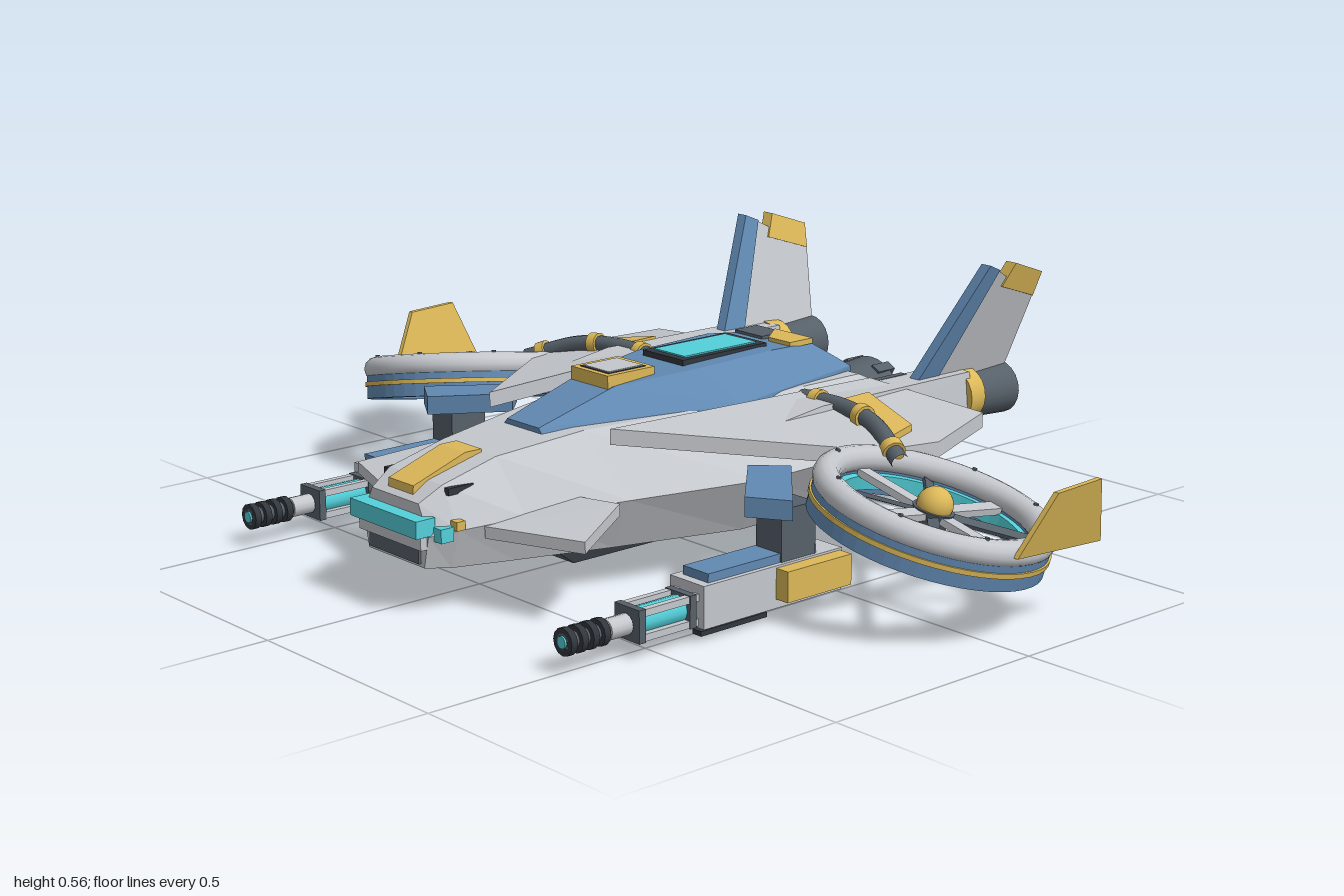
import * as THREE from 'three';
import { ConvexGeometry } from 'three/addons/geometries/ConvexGeometry.js';

const paint = (name, color) => Object.assign(new THREE.MeshStandardMaterial({ color }), { name });
const V = (x, y, z) => new THREE.Vector3(x, y, z);

export function createModel() {
  const gray = paint('hull gray', 0xc4c7cc), blue = paint('panel blue', 0x6189b2);
  const gold = paint('trim gold', 0xdcb858), cyan = paint('glow cyan', 0x54d0da);
  const dark = paint('machinery gray', 0x566069), black = paint('frame black', 0x32373e);
  const model = new THREE.Group();
  model.name = 'tiltrotorGunship';

  const add = (name, geo, mat) => {
    const mesh = new THREE.Mesh(geo, mat);
    mesh.name = name;
    model.add(mesh);
  };
  // reflected copy with its winding restored
  const reflect = (geo) => {
    const g = geo.clone().scale(-1, 1, 1);
    const n = g.attributes.position.count;
    const idx = g.index ? Array.from(g.index.array) : Array.from({ length: n }, (_, i) => i);
    for (let i = 0; i < idx.length; i += 3) [idx[i], idx[i + 1]] = [idx[i + 1], idx[i]];
    g.setIndex(idx);
    return g;
  };
  const pair = (name, geo, mat) => {
    add(name + 'Left', geo, mat);
    add(name + 'Right', reflect(geo), mat);
  };
  const box = (w, h, d, x, y, z) => new THREE.BoxGeometry(w, h, d).translate(x, y, z);
  const solid = (pts) => new ConvexGeometry(pts.map((p) => V(...p)));
  // cylinder along z
  const rod = (rFront, rBack, len, x, y, z, sides = 20) =>
    new THREE.CylinderGeometry(rFront, rBack, len, sides).rotateX(Math.PI / 2).translate(x, y, z);
  const sym = (pts) => solid(pts.flatMap(([x, y, z]) => [[x, y, z], [-x, y, z]]));

  // Faceted hull: z, bottom (w, y), side (w, y), top (w, y)
  const stations = [
    [0.70, 0.09, 0.10, 0.105, 0.165, 0.075, 0.225],
    [0.65, 0.11, 0.095, 0.135, 0.175, 0.085, 0.255],
    [0.52, 0.14, 0.09, 0.175, 0.185, 0.085, 0.287],
    [0.32, 0.20, 0.088, 0.25, 0.195, 0.11, 0.308],
    [0.05, 0.28, 0.088, 0.345, 0.205, 0.17, 0.318],
    [-0.22, 0.28, 0.092, 0.35, 0.21, 0.175, 0.318],
    [-0.40, 0.22, 0.11, 0.29, 0.21, 0.16, 0.312],
    [-0.47, 0.18, 0.14, 0.235, 0.21, 0.15, 0.28],
  ];
  const loops = stations.map(([z, bw, by, sw, sy, tw, ty]) => [
    [-bw, by, z], [bw, by, z], [sw, sy, z], [tw, ty, z], [-tw, ty, z], [-sw, sy, z]]);
  const tris = [];
  for (let i = 0; i < loops.length - 1; i++) {
    for (let j = 0; j < 6; j++) {
      const k = (j + 1) % 6, a = loops[i][j], b = loops[i][k], c = loops[i + 1][k], d = loops[i + 1][j];
      tris.push(a, d, b, b, d, c);
    }
  }
  const first = loops[0], last = loops[loops.length - 1];
  for (let j = 1; j < 5; j++) tris.push(first[0], first[j], first[j + 1], last[0], last[j + 1], last[j]);
  const hull = new THREE.BufferGeometry();
  hull.setAttribute('position', new THREE.Float32BufferAttribute(tris.flat(), 3));
  hull.computeVertexNormals();
  add('hull', hull, gray);

  // Canopy shell with window, hatch and marker
  add('canopy', sym([
    [0.06, 0.3, 0.385], [0.2, 0.29, 0], [0.17, 0.3, -0.2], [0.125, 0.3, -0.41],
    [0.05, 0.312, 0.385], [0.2, 0.32, -0.02], [0.125, 0.322, -0.41],
    [0.06, 0.366, 0.2], [0.1, 0.38, 0], [0.1, 0.385, -0.2], [0.075, 0.374, -0.34]]), blue);
  add('windowFrame', box(0.125, 0.014, 0.235, 0, 0.384, -0.103), black);
  add('roofWindow', box(0.095, 0.014, 0.2, 0, 0.387, -0.103), cyan);
  add('hatchFrame', box(0.115, 0.04, 0.125, 0, 0.37, 0.15), gold);
  add('hatchSeal', box(0.09, 0.04, 0.1, 0, 0.371, 0.15), black);
  add('hatch', box(0.08, 0.04, 0.09, 0, 0.373, 0.15), gray);
  add('markerDark', box(0.085, 0.014, 0.065, -0.043, 0.379, -0.3), dark);
  add('markerGold', solid([-0.006, 0.006].flatMap((dy) => [[-0.03, 0.382 + dy, -0.333], [0.086, 0.382 + dy, -0.333],
    [0.086, 0.382 + dy, -0.267], [0.02, 0.382 + dy, -0.267]])), gold);

  // Nose
  add('noseRidge', sym([[0.04, 0.2, 0.69], [0.04, 0.25, 0.685], [0.04, 0.293, 0.56],
    [0.04, 0.293, 0.52], [0.04, 0.25, 0.52]]), gold);
  add('noseLight', box(0.215, 0.035, 0.045, 0, 0.185, 0.708), cyan);
  pair('noseLightEnd', box(0.024, 0.028, 0.03, 0.12, 0.17, 0.675), cyan);
  add('noseLip', box(0.2, 0.025, 0.04, 0, 0.152, 0.695), gray);
  add('noseGrille', box(0.16, 0.03, 0.012, 0, 0.122, 0.7), dark);
  pair('noseClip', box(0.02, 0.018, 0.02, 0.132, 0.186, 0.65), gold);
  pair('noseVent', box(0.012, 0.014, 0.06, 0.098, 0.244, 0.62), black);

  // Belly keel
  add('keel', sym([[0.13, 0.095, 0.42], [0.13, 0.095, -0.21], [0.13, 0.075, 0.4],
    [0.1, 0.035, 0.34], [0.1, 0.035, -0.31]]), dark);
  add('bellyLight', box(0.14, 0.012, 0.35, 0, 0.03, 0.088), cyan);

  // Thin plates from an outline, thickened along y
  const plate = (pts, t) => solid(pts.flatMap(([x, y, z]) => [[x, y - t, z], [x, y + t, z]]));
  pair('canard', plate([[0.14, 0.195, 0.42], [0.295, 0.2, 0.385], [0.365, 0.17, 0.53], [0.15, 0.165, 0.6]], 0.012), gray);

  // Wings
  const onWing = (x, z, lift = 0) => [x, 0.3 - 0.16 * (x - 0.3) - 0.02 * z + lift, z];
  pair('wing', plate([[0.19, 0.32], [0.4, 0.06], [0.53, -0.08], [0.56, -0.22], [0.5, -0.415],
    [0.25, -0.34]].map((p) => onWing(...p)), 0.016), gray);
  pair('wingPanel', plate([[0.33, -0.255], [0.495, -0.21], [0.515, -0.135], [0.33, -0.165]].map((p) => onWing(...p, 0.022)), 0.008), gold);
  const arm = new THREE.CatmullRomCurve3([V(0.23, 0.315, -0.165), V(0.35, 0.318, -0.163), V(0.46, 0.308, -0.14), V(0.58, 0.265, -0.09)]);
  pair('wingPipe', new THREE.TubeGeometry(arm, 20, 0.018, 10), dark);
  for (const t of [0.12, 0.5, 0.88]) {
    const cuff = new THREE.CylinderGeometry(0.024, 0.024, 0.022, 14);
    cuff.applyQuaternion(new THREE.Quaternion().setFromUnitVectors(V(0, 1, 0), arm.getTangentAt(t)));
    const p = arm.getPointAt(t);
    pair('pipeCuff', cuff.translate(p.x, p.y, p.z), gold);
  }

  // Tail booms and side engines
  pair('boom', solid([[0.295, 0.27, 0.07], [0.33, 0.27, 0.07], [0.295, 0.3, 0.07], [0.33, 0.3, 0.07],
    [0.245, 0.24, -0.12], [0.345, 0.24, -0.12], [0.255, 0.325, -0.12], [0.335, 0.325, -0.12],
    [0.24, 0.225, -0.56], [0.34, 0.225, -0.56], [0.25, 0.322, -0.56], [0.33, 0.322, -0.56]]), gray);
  pair('boomTip', box(0.045, 0.036, 0.04, 0.313, 0.285, 0.065), dark);
  pair('boomStrip', box(0.016, 0.012, 0.26, 0.252, 0.318, -0.31), dark);
  pair('engineCollar', rod(0.061, 0.058, 0.045, 0.29, 0.265, -0.57), gold);
  pair('engineLatch', box(0.03, 0.03, 0.03, 0.235, 0.28, -0.575), gold);
  pair('sideEngine', rod(0.05, 0.057, 0.12, 0.29, 0.26, -0.64), dark);
  pair('sideEngineGlow', rod(0.046, 0.046, 0.006, 0.29, 0.26, -0.701), cyan);

  // Canted fins, outlines given as z, y
  const fin = (pts, t) => solid(pts.flatMap(([z, y]) => {
    const x = 0.295 + 0.31 * (y - 0.31);
    return [[x - t, y, z], [x + t, y, z]];
  }));
  pair('fin', fin([[-0.46, 0.3], [-0.585, 0.545], [-0.725, 0.47], [-0.695, 0.3]], 0.01), gray);
  pair('finEdge', fin([[-0.41, 0.3], [-0.555, 0.56], [-0.59, 0.545], [-0.475, 0.3]], 0.013), blue);
  pair('finCap', fin([[-0.61, 0.505], [-0.635, 0.555], [-0.73, 0.522], [-0.722, 0.468]], 0.014), gold);

  // Main engine
  add('mainCollar', rod(0.102, 0.09, 0.06, 0, 0.193, -0.452, 28), gold);
  add('mainEngine', rod(0.085, 0.098, 0.13, 0, 0.19, -0.535, 28), dark);
  add('mainGlow', rod(0.078, 0.078, 0.008, 0, 0.19, -0.602, 28), cyan);
  for (let i = 0; i < 6; i++) {
    const a = (i * Math.PI) / 3 + Math.PI / 6;
    add('nozzleTab', box(0.024, 0.022, 0.05, 0, 0.088, 0).rotateZ(a).translate(0, 0.19, -0.59), dark);
  }

  // Ducted rotors, built flat then tilted into place
  const place = (g) => g.rotateX(-0.16).rotateZ(-0.22).translate(0.718, 0.205, -0.035);
  const rotor = (name, geo, mat) => pair(name, place(geo), mat);
  const ring = (r0, r1, y0, y1) => {
    const profile = [[r0, y0], [r1, y0], [r1, y1], [r0, y1], [r0, y0]];
    const g = new THREE.LatheGeometry(profile.map(([r, y]) => new THREE.Vector2(r, y)), 48).toNonIndexed();
    g.computeVertexNormals();
    return g;
  };
  rotor('ductRim', new THREE.TorusGeometry(0.215, 0.027, 12, 48).rotateX(Math.PI / 2).translate(0, 0.018, 0), gray);
  rotor('ductBand', ring(0.196, 0.236, -0.05, 0.01), blue);
  rotor('ductStripe', ring(0.205, 0.24, -0.022, -0.012), gold);
  rotor('ductGlow', ring(0.182, 0.197, -0.035, -0.005), cyan);
  for (let i = 0; i < 4; i++) {
    const a = (i * Math.PI) / 2;
    rotor('strut', box(0.16, 0.014, 0.032, 0.11, 0, 0).rotateY(a), gray);
    rotor('blade', box(0.165, 0.008, 0.022, 0.105, 0, 0).rotateX(0.35).rotateY(a + Math.PI / 4), dark);
  }
  for (let i = 0; i < 8; i++) {
    rotor('rimBolt', new THREE.CylinderGeometry(0.005, 0.005, 0.006, 8).translate(0.215, 0.045, 0).rotateY((i + 0.5) * Math.PI / 4), dark);
  }
  rotor('hubBase', new THREE.CylinderGeometry(0.042, 0.032, 0.04, 20).translate(0, -0.01, 0), dark);
  rotor('hubDome', new THREE.SphereGeometry(0.036, 20, 12).translate(0, 0.018, 0), gold);
  pair('tipFin', solid([[0.18, 0], [0.3, -0.07], [0.305, -0.19], [0.165, -0.24]].flatMap(([y, z]) => {
    const x = 0.957 + 0.27 * (y - 0.17);
    return [[x - 0.006, y, z], [x + 0.006, y, z]];
  })), gold);

  // Gun pods on cranked pylons
  pair('pylonArm', plate([[0.37, 0.235, 0.12], [0.43, 0.235, 0.06], [0.58, 0.225, 0.2], [0.5, 0.225, 0.25]], 0.02), blue);
  pair('pylon', box(0.07, 0.12, 0.09, 0.515, 0.16, 0.155), dark);
  pair('gunBody', box(0.095, 0.085, 0.36, 0.51, 0.073, 0.225), gray);
  pair('gunCover', box(0.07, 0.022, 0.28, 0.512, 0.122, 0.245), blue);
  pair('ammoBox', box(0.035, 0.062, 0.17, 0.572, 0.08, 0.135), gold);
  pair('gunRail', box(0.025, 0.01, 0.17, 0.51, 0.007, 0.295), black);
  for (let i = 0; i < 4; i++) pair('railPost', box(0.016, 0.026, 0.02, 0.51, 0.02, 0.23 + i * 0.043), black);
  pair('gunCore', rod(0.027, 0.027, 0.15, 0.51, 0.066, 0.475, 12), cyan);
  for (const dx of [-0.026, 0.026]) {
    for (const dy of [-0.024, 0.024]) pair('gunRod', box(0.014, 0.014, 0.15, 0.51 + dx, 0.066 + dy, 0.475), gray);
  }
  for (const z of [0.42, 0.545]) pair('gunClamp', box(0.07, 0.065, 0.016, 0.51, 0.066, z), dark);
  pair('barrel', rod(0.017, 0.017, 0.16, 0.51, 0.065, 0.625, 12), dark);
  pair('barrelSleeve', rod(0.021, 0.021, 0.05, 0.51, 0.065, 0.58, 12), gray);
  for (let i = 0; i < 4; i++) pair('barrelRing', rod(0.027, 0.027, 0.014, 0.51, 0.065, 0.62 + i * 0.026, 12), black);
  pair('muzzle', rod(0.012, 0.012, 0.004, 0.51, 0.065, 0.707, 12), cyan);

  return model;
}
